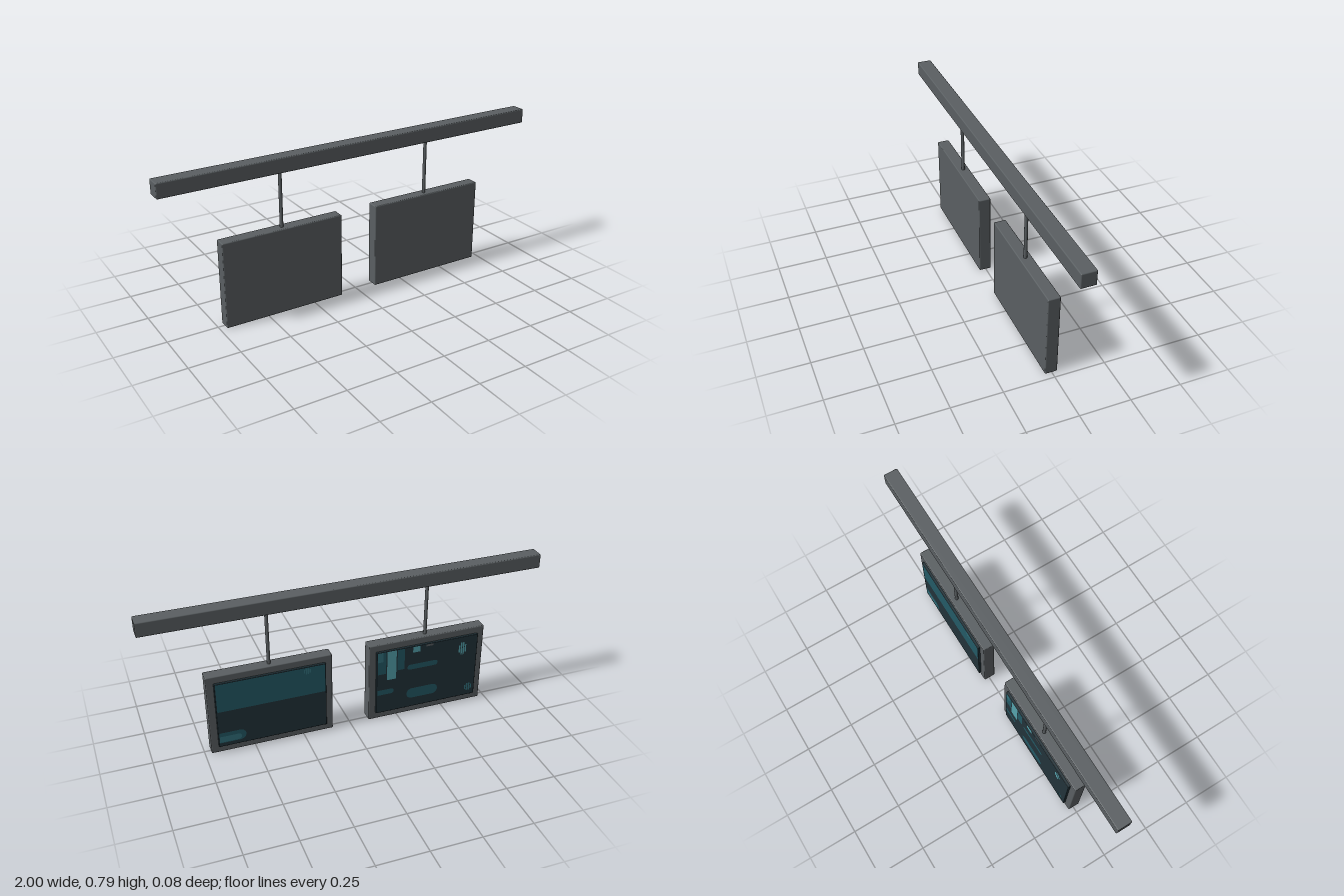
import * as THREE from 'three';
import { RoundedBoxGeometry } from 'three/addons/geometries/RoundedBoxGeometry.js';

const mat = (name, color) => {
  const m = new THREE.MeshStandardMaterial({ color });
  m.name = name;
  return m;
};

export function createModel() {
  const metal = mat('grey metal', 0x5a5f62);
  const dark = mat('dark screen', 0x22333a);
  const teal = mat('teal', 0x235a66);
  const midTeal = mat('mid teal', 0x33727d);
  const light = mat('light teal', 0x55a3ad);
  const model = new THREE.Group();
  model.name = 'hangingScreens';

  const add = (parent, name, geometry, material, x, y, z) => {
    const mesh = new THREE.Mesh(geometry, material);
    mesh.name = name;
    mesh.position.set(x, y, z);
    parent.add(mesh);
    return mesh;
  };

  // Screen pictures, in fractions from the top left corner of each screen
  const W = 0.55, H = 0.36;
  let layer = 0;
  const patch = (screen, name, material, u0, u1, v0, v1, roundLeft = false, roundRight = false) => {
    const x0 = (u0 - 0.5) * W, x1 = (u1 - 0.5) * W;
    const y0 = (0.5 - v1) * H, y1 = (0.5 - v0) * H;
    const r = Math.min((y1 - y0) / 2, (x1 - x0) / 2), cy = (y0 + y1) / 2;
    const s = new THREE.Shape();
    s.moveTo(roundLeft ? x0 + r : x0, y0);
    if (roundRight) {
      s.lineTo(x1 - r, y0);
      s.absarc(x1 - r, cy, r, -Math.PI / 2, Math.PI / 2, false);
    } else {
      s.lineTo(x1, y0);
      s.lineTo(x1, y1);
    }
    if (roundLeft) {
      s.lineTo(x0 + r, y1);
      s.absarc(x0 + r, cy, r, Math.PI / 2, Math.PI * 1.5, false);
    } else s.lineTo(x0, y1);
    add(screen, name, new THREE.ShapeGeometry(s, 8), material, 0, 0, 0.0003 + 0.00008 * layer++);
  };
  // Small cluster of upright dashes
  const dashes = (screen, material, u, v, w, h) => {
    const n = 4;
    for (let i = 0; i < n; i++) {
      const a = u - w / 2 + (i * w) / n;
      const trim = i === 0 || i === n - 1 ? h * 0.2 : 0;
      patch(screen, 'dash', material, a, a + (w / n) * 0.7, v - h / 2 + trim, v + h / 2 - trim);
    }
  };

  // Ceiling beam
  add(model, 'beam', new RoundedBoxGeometry(2, 0.073, 0.073, 2, 0.005), metal, 0, 0.751, 0.0035);

  const screens = [1, -1].map((side) => {
    const x = side * 0.407;
    // Hanging rod and cabinet
    add(model, 'rod', new THREE.CylinderGeometry(0.0085, 0.0085, 0.3, 16), metal, side * 0.404, 0.575, 0.0035);
    add(model, 'cabinet', new RoundedBoxGeometry(0.622, 0.434, 0.061, 2, 0.005), metal, x, 0.219, 0.0035);
    // Screen slab on the back
    add(model, 'screen', new RoundedBoxGeometry(W, H, 0.024, 2, 0.003), dark, x, 0.22, -0.0275);
    const face = new THREE.Group();
    face.name = 'screenPicture';
    face.position.set(x, 0.22, -0.0395);
    face.rotation.y = Math.PI;
    model.add(face);
    return face;
  });

  // Left screen: wide band and a bright pill
  const [left, right] = screens;
  patch(left, 'band', teal, 0.01, 0.99, 0.01, 0.44);
  patch(left, 'pill', teal, 0.01, 0.25, 0.78, 0.94, false, true);
  patch(left, 'pillCore', midTeal, 0.01, 0.21, 0.84, 0.93, false, true);
  dashes(left, midTeal, 0.83, 0.065, 0.07, 0.09);

  // Right screen: columns, pills and dashes
  layer = 0;
  patch(right, 'columnShade', teal, 0.01, 0.09, 0.01, 0.36);
  patch(right, 'columnEdge', midTeal, 0.01, 0.06, 0.01, 0.16);
  patch(right, 'column', light, 0.1, 0.19, 0.01, 0.47);
  patch(right, 'columnShade', teal, 0.2, 0.27, 0.01, 0.34);
  patch(right, 'pill', teal, 0.3, 0.6, 0.29, 0.37, true, true);
  patch(right, 'pill', teal, 0.3, 0.61, 0.69, 0.85, true, true);
  patch(right, 'pill', teal, 0.01, 0.17, 0.62, 0.7, false, true);
  patch(right, 'topTab', light, 0.35, 0.42, 0.01, 0.1);
  patch(right, 'topTab', metal, 0.48, 0.55, 0.01, 0.04);
  dashes(right, light, 0.85, 0.19, 0.08, 0.2);
  dashes(right, midTeal, 0.935, 0.86, 0.08, 0.12);

  return model;
}
